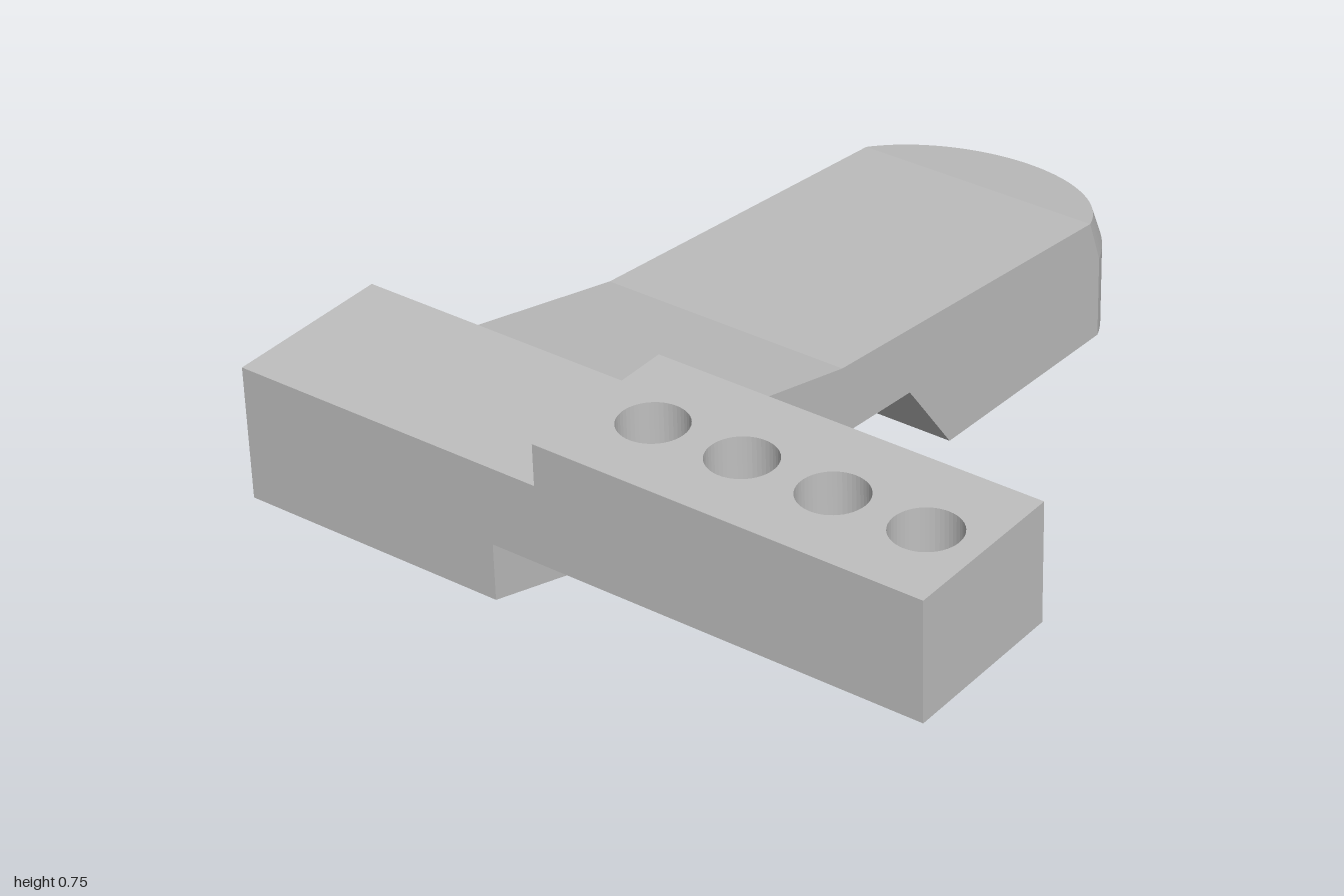
import * as THREE from 'three';

const HALF = 0.265;      // half the arm width
const ARM_X = -0.43;     // centre line of the arm
const SPLIT = 0.175;     // height where the foot wall turns into the bevel

// Extrudes a plan outline (x, -z) upwards by the given height
function extrudePlan(shape, height) {
  const g = new THREE.ExtrudeGeometry(shape, { depth: height, bevelEnabled: false, curveSegments: 24 });
  return g.rotateX(-Math.PI / 2);
}

// Moves each vertex by a rule, then rebuilds the flat normals
function reshape(geometry, rule) {
  const p = geometry.attributes.position;
  const v = new THREE.Vector3();
  for (let i = 0; i < p.count; i++) {
    rule(v.fromBufferAttribute(p, i));
    p.setXYZ(i, v.x, v.y, v.z);
  }
  geometry.computeVertexNormals();
  return geometry;
}

// Plan outline with a straight front edge and a rounded rear end
function roundedPlan(frontZ) {
  const spread = Math.atan2(HALF, 0.105);
  const s = new THREE.Shape();
  s.moveTo(-HALF, -frontZ);
  s.lineTo(HALF, -frontZ);
  s.absarc(0, 0.715, 0.285, Math.PI / 2 - spread, Math.PI / 2 + spread, false);
  s.closePath();
  return s;
}

function addHole(shape, x, z, r) {
  const hole = new THREE.Path();
  hole.absarc(x, -z, r, 0, Math.PI * 2, true);
  shape.holes.push(hole);
}

export function createModel() {
  const group = new THREE.Group();
  const grey = new THREE.MeshStandardMaterial({ color: 0xc0c0c0 });
  grey.name = 'grey';

  function add(name, geometry, x = 0, y = 0, z = 0) {
    const mesh = new THREE.Mesh(geometry, grey);
    mesh.name = name;
    mesh.position.set(x, y, z);
    group.add(mesh);
  }

  // Bent arm, drawn as a side profile (z, y)
  const profile = new THREE.Shape([
    [1, 0.41], [1, 0.52], [0.67, 0.52], [0.03, 0.36], [-0.785, 0.27], [-0.785, SPLIT],
    [-0.199, SPLIT], [-0.18, 0.2], [0.27, 0.24], [0.63, 0.3],
  ].map(([z, y]) => new THREE.Vector2(z, y)));
  const arm = new THREE.ExtrudeGeometry(profile, { depth: HALF * 2, bevelEnabled: false });
  arm.rotateY(-Math.PI / 2);
  add('arm', arm, ARM_X + HALF);

  // Foot block with two blind holes, a sloped front and a slightly tilted sole
  const footPlan = roundedPlan(-0.31);
  for (const z of [-0.45, -0.74]) addHole(footPlan, 0, z, 0.085);
  const foot = reshape(extrudePlan(footPlan, SPLIT), (v) => {
    if (v.y < 0.01) v.y = Math.max(0, 0.025 + (v.z + 0.31) * 0.045);
    else if (v.z > -0.32) v.z = -0.199;
  });
  add('foot', foot, ARM_X);

  // Bevelled rear end: the upper arc leans forward and follows the sloping top
  const end = reshape(extrudePlan(roundedPlan(-0.785), 0.1), (v) => {
    if (v.y > 0.05) {
      if (v.z < -0.8) v.z += 0.035;
      v.y = 0.27 + (v.z + 0.785) * 0.2 - SPLIT;
    }
  });
  add('bevelledEnd', end, ARM_X, SPLIT);

  // Cross bar above the arm
  add('crossBar', new THREE.BoxGeometry(0.625, 0.15, 0.33), -0.3825, 0.595, 0.835);

  // Raised block with a row of through holes
  const block = new THREE.Shape();
  block.moveTo(-0.07, -1);
  block.lineTo(0.69, -1);
  block.lineTo(0.69, -0.67);
  block.lineTo(-0.07, -0.67);
  block.closePath();
  for (let i = 0; i < 4; i++) addHole(block, 0.05 + i * 0.178, 0.84, 0.062);
  add('holedBlock', extrudePlan(block, 0.23), 0, 0.52);

  return group;
}
